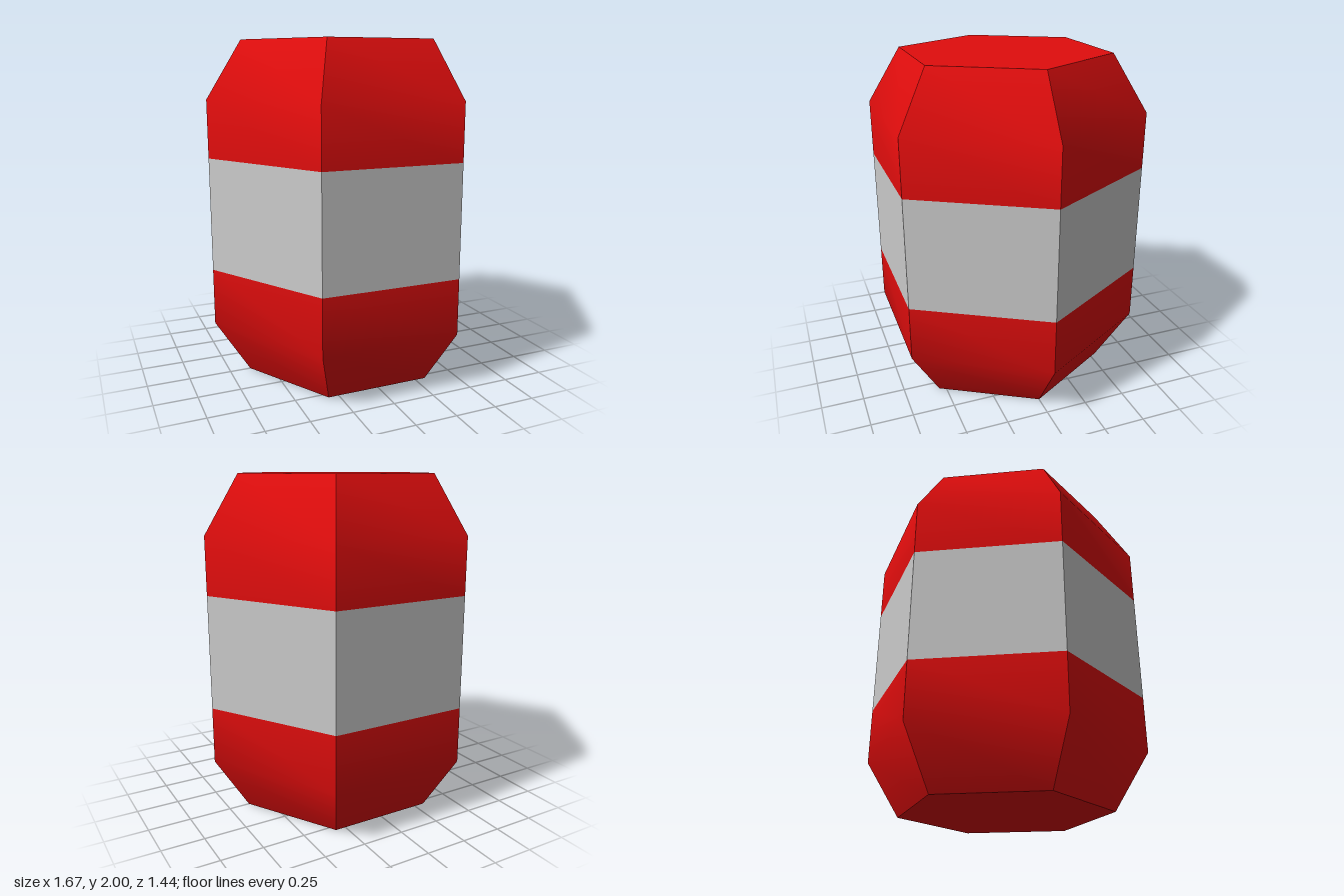
import * as THREE from 'three';
import { toCreasedNormals } from 'three/addons/utils/BufferGeometryUtils.js';

const RED = 0xe00d0d;
const R = 0.833, CAP_R = 0.625; // corner radii of the body and of the flat ends

// Six-sided ring turned from a profile of [radius, y] listed bottom to top, with corners on the x axis
function hexLathe(name, profile, color) {
  const points = profile.map(([r, y]) => new THREE.Vector2(r, y));
  const lathe = new THREE.LatheGeometry(points, 6, Math.PI / 2);
  // Blend the bevel into the side, keep the six corners and the flat end sharp
  const geometry = toCreasedNormals(lathe, THREE.MathUtils.degToRad(40));
  const mesh = new THREE.Mesh(geometry, new THREE.MeshStandardMaterial({ color }));
  mesh.name = name;
  return mesh;
}

export function createModel() {
  const group = new THREE.Group();
  group.name = 'hexagonalCapsule';

  // Bevelled ends, mirrored about y = 1
  const bottom = [[0, 0], [CAP_R, 0], [R, 0.333], [R, 0.667]];
  const top = bottom.map(([r, y]) => [r, 2 - y]).reverse();
  group.add(hexLathe('bottomEnd', bottom, RED));
  group.add(hexLathe('topEnd', top, RED));

  // Plain band around the middle
  group.add(hexLathe('middleBand', [[R, 0.667], [R, 1.333]], 0xcccccc));

  return group;
}
